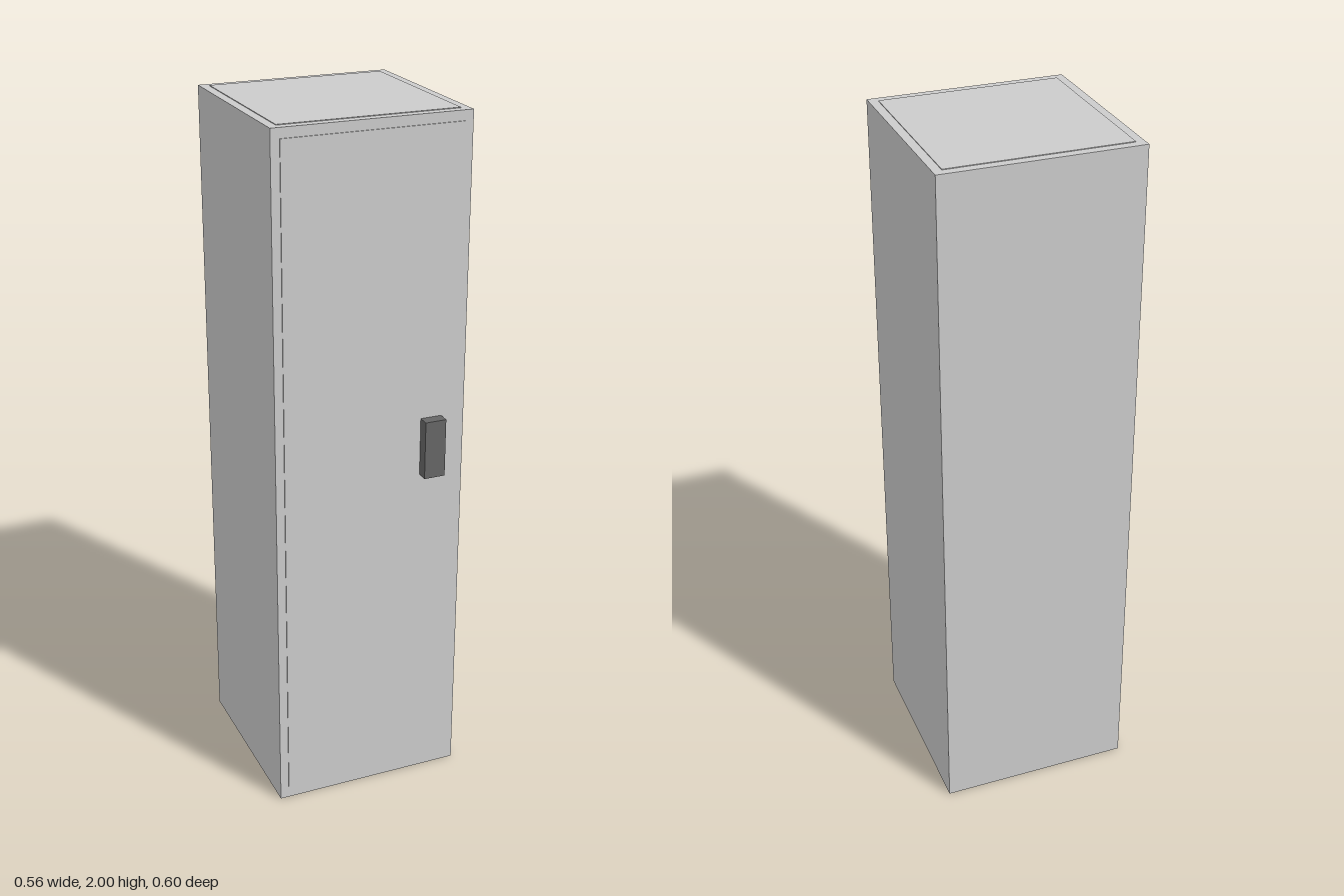
import * as THREE from 'three';

export function createModel() {
  const group = new THREE.Group();
  const grey = new THREE.MeshStandardMaterial({ color: 0xcccccc });
  const dark = new THREE.MeshStandardMaterial({ color: 0x666666 });

  // Box given by its lower and upper corners
  function addBox(name, [x0, y0, z0], [x1, y1, z1], material = grey) {
    const geometry = new THREE.BoxGeometry(x1 - x0, y1 - y0, z1 - z0);
    const mesh = new THREE.Mesh(geometry, material);
    mesh.name = name;
    mesh.position.set((x0 + x1) / 2, (y0 + y1) / 2, (z0 + z1) / 2);
    group.add(mesh);
  }

  // Tall cabinet with a barely raised top panel
  addBox('cabinetBody', [-0.28, 0, -0.298], [0.28, 1.998, 0.262]);
  addBox('topPanel', [-0.255, 1.99, -0.273], [0.255, 2, 0.237]);

  // Thin door on the front, with a slim sill below it
  addBox('door', [-0.255, 0.052, 0.25], [0.255, 1.97, 0.265]);
  addBox('doorSill', [-0.255, 0.036, 0.25], [0.255, 0.052, 0.263]);

  // Block handle on the model's left
  addBox('handle', [0.148, 0.985, 0.26], [0.21, 1.155, 0.298], dark);

  return group;
}
